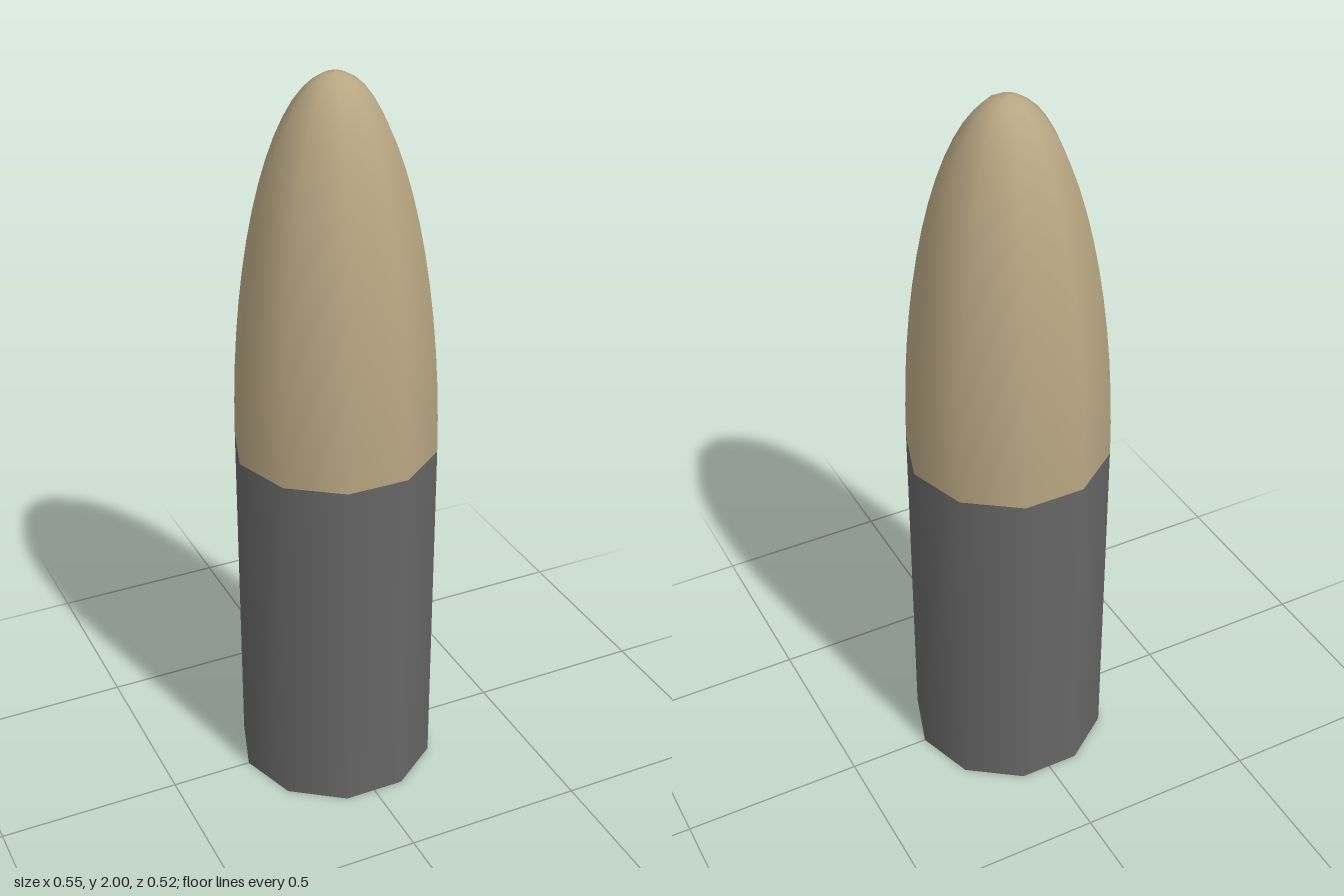
import * as THREE from 'three';

const SIDES = 10;
const RADIUS = 0.274;
const CASE_HEIGHT = 0.99;
const NOSE_HEIGHT = 2 - CASE_HEIGHT;

export function createModel() {
  const group = new THREE.Group();

  // Ten-sided case, with corners on the x axis
  const caseBody = new THREE.Mesh(
    new THREE.CylinderGeometry(RADIUS, RADIUS, CASE_HEIGHT, SIDES, 1, false, Math.PI / 2),
    new THREE.MeshStandardMaterial({ color: 0x666666 })
  );
  caseBody.name = 'case';
  caseBody.position.y = CASE_HEIGHT / 2;
  group.add(caseBody);

  // Rounded nose: a quarter ellipse turned around the y axis
  const profile = [];
  const rings = 16;
  for (let i = 0; i <= rings; i++) {
    const a = (i / rings) * Math.PI / 2;
    const r = i === rings ? 0 : RADIUS * Math.cos(a);
    profile.push(new THREE.Vector2(r, CASE_HEIGHT + NOSE_HEIGHT * Math.sin(a)));
  }
  const nose = new THREE.Mesh(
    new THREE.LatheGeometry(profile, SIDES, Math.PI / 2),
    new THREE.MeshStandardMaterial({ color: 0xb8a682 })
  );
  nose.name = 'nose';
  group.add(nose);

  return group;
}
